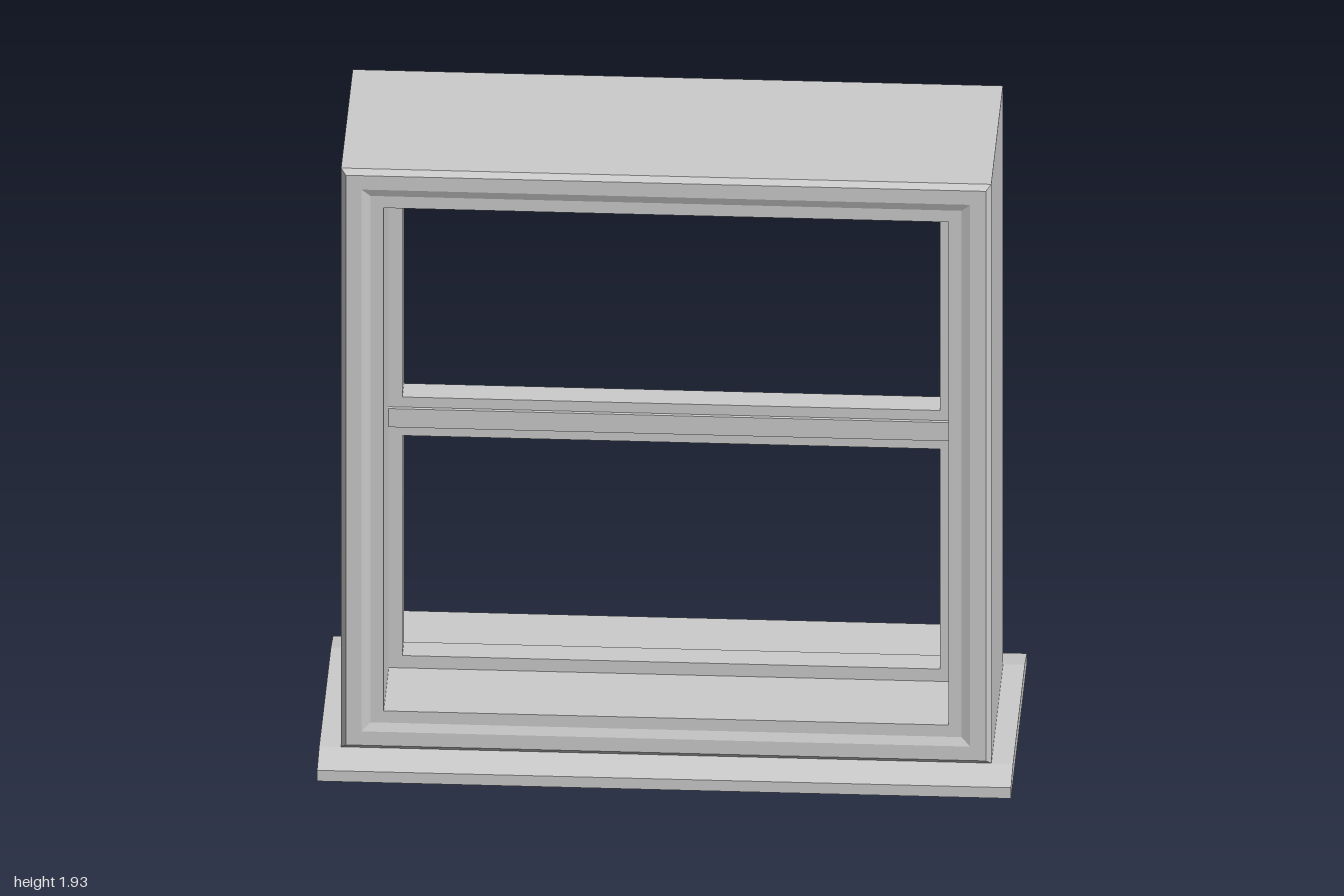
import * as THREE from 'three';

const material = new THREE.MeshStandardMaterial({ color: 0xcccccc, flatShading: true });

function part(name, geometry) {
  const mesh = new THREE.Mesh(geometry, material);
  mesh.name = name;
  return mesh;
}

// Sweeps a closed profile of [inset, z] points round a rectangle with mitred corners.
function mitredFrame(halfWidth, bottom, top, profile) {
  const corners = [[-1, 0], [1, 0], [1, 1], [-1, 1]];
  const point = (c, p) => {
    const [sx, up] = corners[c % 4];
    const [inset, z] = profile[p % profile.length];
    return [sx * (halfWidth - inset), up ? top - inset : bottom + inset, z];
  };
  const positions = [];
  for (let c = 0; c < 4; c++) {
    for (let p = 0; p < profile.length; p++) {
      const a = point(c, p), b = point(c + 1, p);
      const d = point(c + 1, p + 1), e = point(c, p + 1);
      positions.push(...a, ...b, ...d, ...a, ...d, ...e);
    }
  }
  const geometry = new THREE.BufferGeometry();
  geometry.setAttribute('position', new THREE.Float32BufferAttribute(positions, 3));
  geometry.computeVertexNormals();
  return geometry;
}

// Mirrors the front half of a profile to the back.
const bothFaces = (front) => [...front, ...front.map(([d, z]) => [d, -z]).reverse()];

export function createModel() {
  const model = new THREE.Group();
  model.name = 'sashWindow';

  // Sill with sloping front and back edges
  const section = new THREE.Shape([
    [-0.42, 0], [0.42, 0], [0.42, 0.035], [0.31, 0.055], [-0.31, 0.055], [-0.42, 0.035],
  ].map(([z, y]) => new THREE.Vector2(z, y)));
  const sill = new THREE.ExtrudeGeometry(section, { depth: 2, bevelEnabled: false });
  sill.translate(0, 0, -1).rotateY(Math.PI / 2);
  model.add(part('sill', sill));

  // Deep casing with chamfered rim and stepped moulding
  const casing = bothFaces([[0, 0.308], [0.015, 0.324], [0.06, 0.324], [0.085, 0.314], [0.123, 0.314]]);
  model.add(part('casing', mitredFrame(0.937, 0.055, 1.932, casing)));

  // Sash surround set in the middle of the casing
  model.add(part('sashFrame', mitredFrame(0.815, 0.178, 1.81, bothFaces([[0, 0.043], [0.04, 0.043]]))));

  // Meeting rail and the bead across it
  const rail = new THREE.BoxGeometry(1.55, 0.125, 0.086).translate(0, 0.994, 0);
  model.add(part('meetingRail', rail));
  const bead = new THREE.BoxGeometry(1.63, 0.06, 0.11).translate(0, 0.994, 0);
  model.add(part('railBead', bead));

  return model;
}
